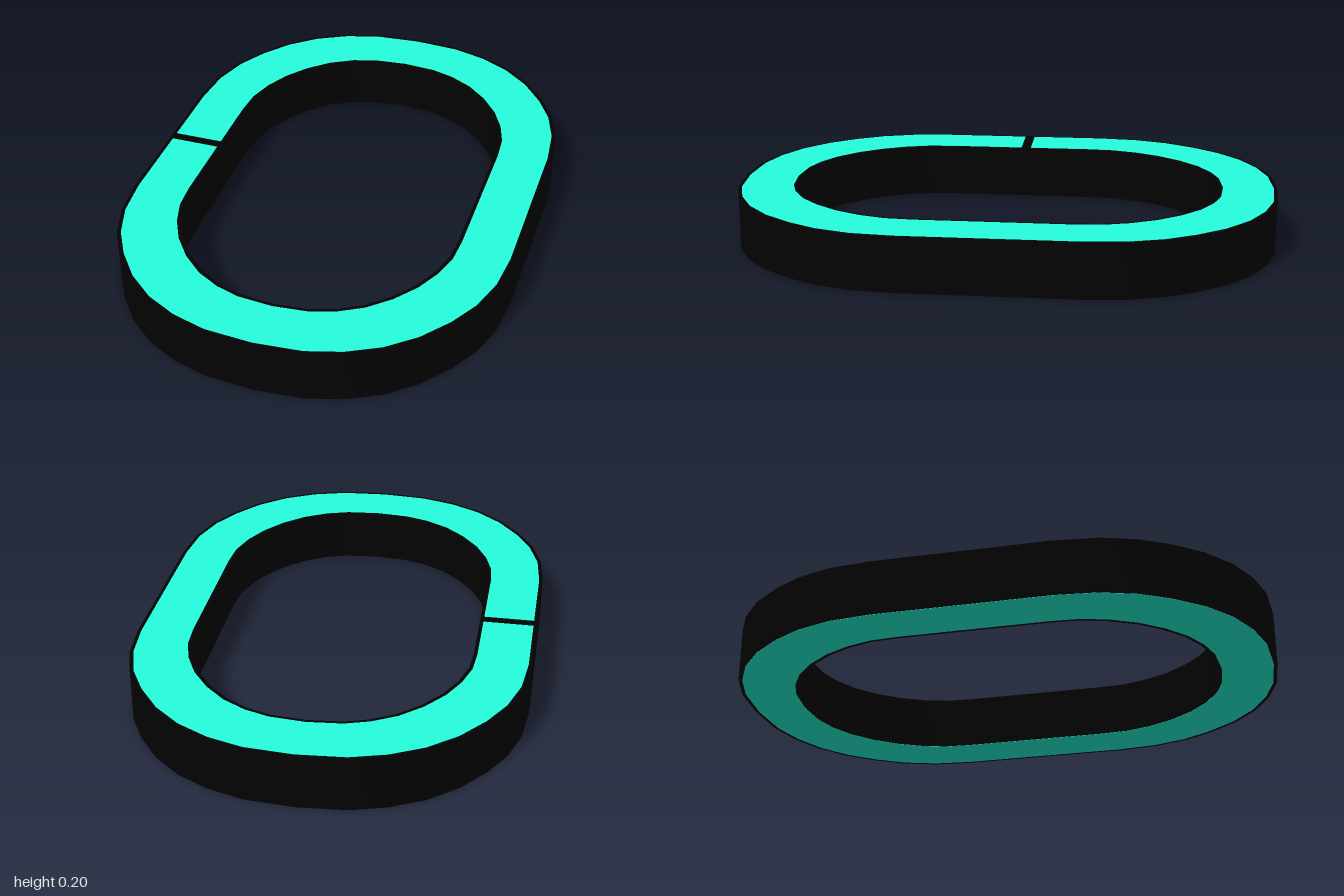
import * as THREE from 'three';
import { toCreasedNormals } from 'three/addons/utils/BufferGeometryUtils.js';

// Quarter outlines from the straight side to the end of the link
const OUTER = [[0.713, 0.32], [0.698, 0.47], [0.658, 0.597], [0.598, 0.703], [0.517, 0.806],
  [0.417, 0.89], [0.301, 0.95], [0.174, 0.987], [0, 1]];
const INNER = [[0.504, 0.27], [0.497, 0.37], [0.47, 0.462], [0.426, 0.551], [0.364, 0.633],
  [0.29, 0.701], [0.206, 0.749], [0.122, 0.776], [0, 0.787]];
const RIM = 0.013;          // black border showing round each face
const GAP = [0.003, 0.041]; // slit across the top face

// Full clockwise loop starting on the -x side and running over the far end
function loop(quarter, grow = 0) {
  const [w, l] = [quarter[0][0], quarter[8][1]];
  const q = quarter.map(([x, y]) => [x * (w + grow) / w, y * (l + grow) / l]);
  const half = [...q.map(([x, y]) => [-x, y]), ...q.slice(0, 8).reverse()];
  return [...half, ...half.map(([x, y]) => [-x, -y])].map(([x, y]) => new THREE.Vector2(x, y));
}

// The hole runs against the outline so its walls face into the opening
function ringShape(outer, inner) {
  const shape = new THREE.Shape(outer);
  shape.holes.push(new THREE.Path([...inner].reverse()));
  return shape;
}

function slab(name, shape, y0, y1, material) {
  const geometry = new THREE.ExtrudeGeometry(shape, { depth: y1 - y0, bevelEnabled: false });
  geometry.rotateX(-Math.PI / 2).translate(0, y0, 0);
  const mesh = new THREE.Mesh(toCreasedNormals(geometry, 0.5), material);
  mesh.name = name;
  return mesh;
}

export function createModel() {
  const group = new THREE.Group();
  group.name = 'ovalLink';
  const black = new THREE.MeshStandardMaterial({ color: 0x020202 });
  const teal = new THREE.MeshStandardMaterial({ color: 0x25fede });

  // Black band forming the walls
  group.add(slab('body', ringShape(loop(OUTER), loop(INNER)), 0.001, 0.199, black));

  // Inset faces: closed ring below, ring with a slit on top
  const faceOuter = loop(OUTER, -RIM), faceInner = loop(INNER, RIM);
  group.add(slab('bottomFace', ringShape(faceOuter, faceInner), 0, 0.004, teal));
  const open = (pts) => [
    new THREE.Vector2(pts[0].x, GAP[1]), ...pts, new THREE.Vector2(pts[0].x, GAP[0])];
  const topShape = new THREE.Shape([...open(faceOuter), ...open(faceInner).reverse()]);
  group.add(slab('topFace', topShape, 0.196, 0.2, teal));

  return group;
}
